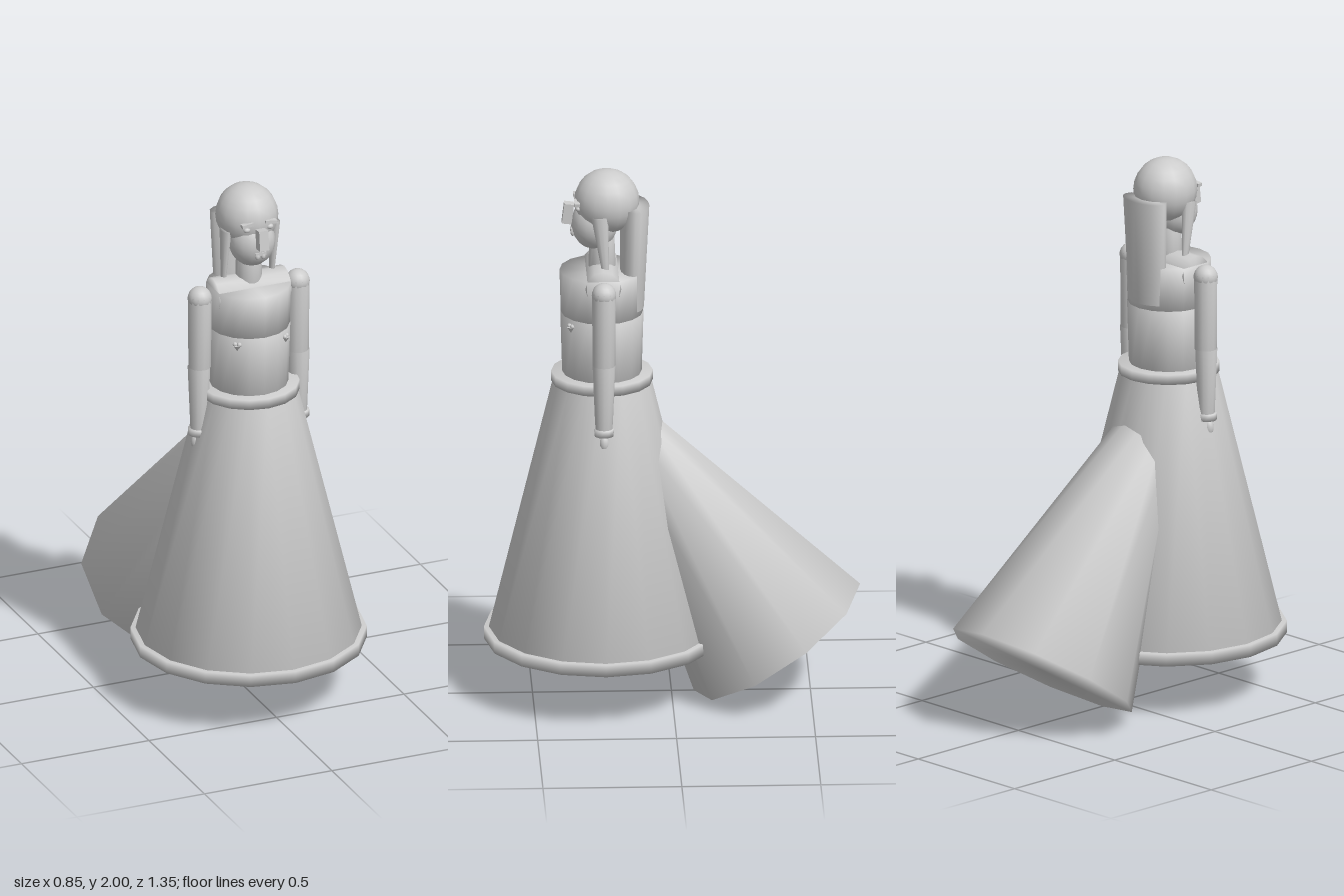
import * as THREE from 'three';
import { mergeVertices } from 'three/addons/utils/BufferGeometryUtils.js';

const AXIS_Z = 0.25; // z of the figure's vertical axis

// Share vertices across caps and sides so shading rolls softly over the edges
function soften(geo) {
  geo.deleteAttribute('uv');
  geo.deleteAttribute('normal');
  const merged = mergeVertices(geo);
  merged.computeVertexNormals();
  return merged;
}

export function createModel() {
  const root = new THREE.Group();
  const grey = new THREE.MeshStandardMaterial({ color: 0xcccccc });
  grey.name = 'plainGrey';

  function add(name, geo, x, y, z) {
    const mesh = new THREE.Mesh(geo, grey);
    mesh.name = name;
    mesh.position.set(x, y, z);
    root.add(mesh);
    return mesh;
  }

  // Upright tapered drum between two heights
  function drum(name, rTop, rBottom, y0, y1, x = 0, z = AXIS_Z, sides = 16) {
    const geo = soften(new THREE.CylinderGeometry(rTop, rBottom, y1 - y0, sides));
    return add(name, geo, x, (y0 + y1) / 2, z);
  }

  function ball(name, rx, ry, rz, x, y, z) {
    const geo = new THREE.SphereGeometry(1, 16, 12);
    geo.scale(rx, ry, rz);
    return add(name, geo, x, y, z);
  }

  function box(name, w, h, d, x, y, z) {
    return add(name, new THREE.BoxGeometry(w, h, d), x, y, z);
  }

  // Gown
  drum('skirt', 0.175, 0.413, 0.23, 1.21);
  drum('hem', 0.425, 0.425, 0.21, 0.255);
  drum('belt', 0.183, 0.183, 1.195, 1.232);
  drum('waist', 0.15, 0.143, 1.22, 1.46);
  drum('bodice', 0.153, 0.148, 1.455, 1.62);

  // Train: wide cone leaning back out of the skirt
  const length = 1.0, lean = 0.589;
  const train = add('train', soften(new THREE.CylinderGeometry(0.1, 0.36, length, 10)),
    0, 0.2 + Math.cos(lean) * length / 2, -0.38 + Math.sin(lean) * length / 2);
  train.rotation.x = lean;

  // Shoulders and neck
  const shoulders = add('shoulders', soften(new THREE.CylinderGeometry(0.065, 0.065, 0.28, 12)),
    0, 1.592, AXIS_Z);
  shoulders.rotation.z = Math.PI / 2;
  drum('neck', 0.045, 0.05, 1.6, 1.75);

  // Head and face
  ball('head', 0.113, 0.118, 0.118, 0, 1.882, 0.233);
  ball('jaw', 0.085, 0.095, 0.085, 0, 1.797, 0.277);
  const nose = box('nose', 0.036, 0.075, 0.035, 0, 1.837, 0.373);
  nose.rotation.x = -0.12;
  box('mouth', 0.042, 0.012, 0.02, 0, 1.775, 0.352);

  // Back hair, flattened front to back
  const hair = drum('backHair', 0.1, 0.085, 1.48, 1.865, 0, 0.137);
  hair.scale.z = 0.52;
  hair.rotation.x = -0.03;

  for (const s of [-1, 1]) {
    // Facial details
    ball('eye', 0.013, 0.01, 0.01, s * 0.045, 1.868, 0.338);
    box('eyebrow', 0.045, 0.012, 0.02, s * 0.045, 1.89, 0.342).rotation.z = -s * 0.12;
    ball('lip', 0.009, 0.013, 0.008, s * 0.011, 1.765, 0.356);

    // Side lock
    const lock = drum('sideLock', 0.03, 0.012, 1.63, 1.85, s * 0.095, 0.25, 10);
    lock.scale.x = 0.7;
    lock.rotation.x = 0.1;

    // Arm
    ball('shoulder', 0.044, 0.044, 0.044, s * 0.192, 1.59, AXIS_Z);
    drum('upperArm', 0.043, 0.041, 1.32, 1.6, s * 0.192, AXIS_Z, 12);
    drum('forearm', 0.041, 0.031, 1.07, 1.32, s * 0.195, AXIS_Z, 12);
    drum('cuff', 0.036, 0.036, 1.055, 1.08, s * 0.199, AXIS_Z, 12);
    ball('hand', 0.025, 0.035, 0.02, s * 0.201, 1.025, AXIS_Z);

    // Heart ornament on the waist
    const heart = new THREE.Group();
    heart.name = 'heart';
    for (const k of [-1, 1]) {
      const lobe = new THREE.Mesh(new THREE.SphereGeometry(0.009, 8, 6), grey);
      lobe.position.set(k * 0.008, 0.006, 0);
      heart.add(lobe);
    }
    const point = new THREE.Mesh(new THREE.ConeGeometry(0.015, 0.022, 8), grey);
    point.rotation.x = Math.PI;
    point.position.y = -0.008;
    heart.add(point);
    heart.position.set(s * 0.095, 1.43, AXIS_Z + 0.115);
    heart.rotation.y = s * 0.69;
    root.add(heart);

    // Shoe with rounded toe
    box('shoe', 0.085, 0.08, 0.205, s * 0.083, 0.21, 0.297);
    ball('toe', 0.042, 0.035, 0.04, s * 0.083, 0.215, 0.4);
  }

  return root;
}
